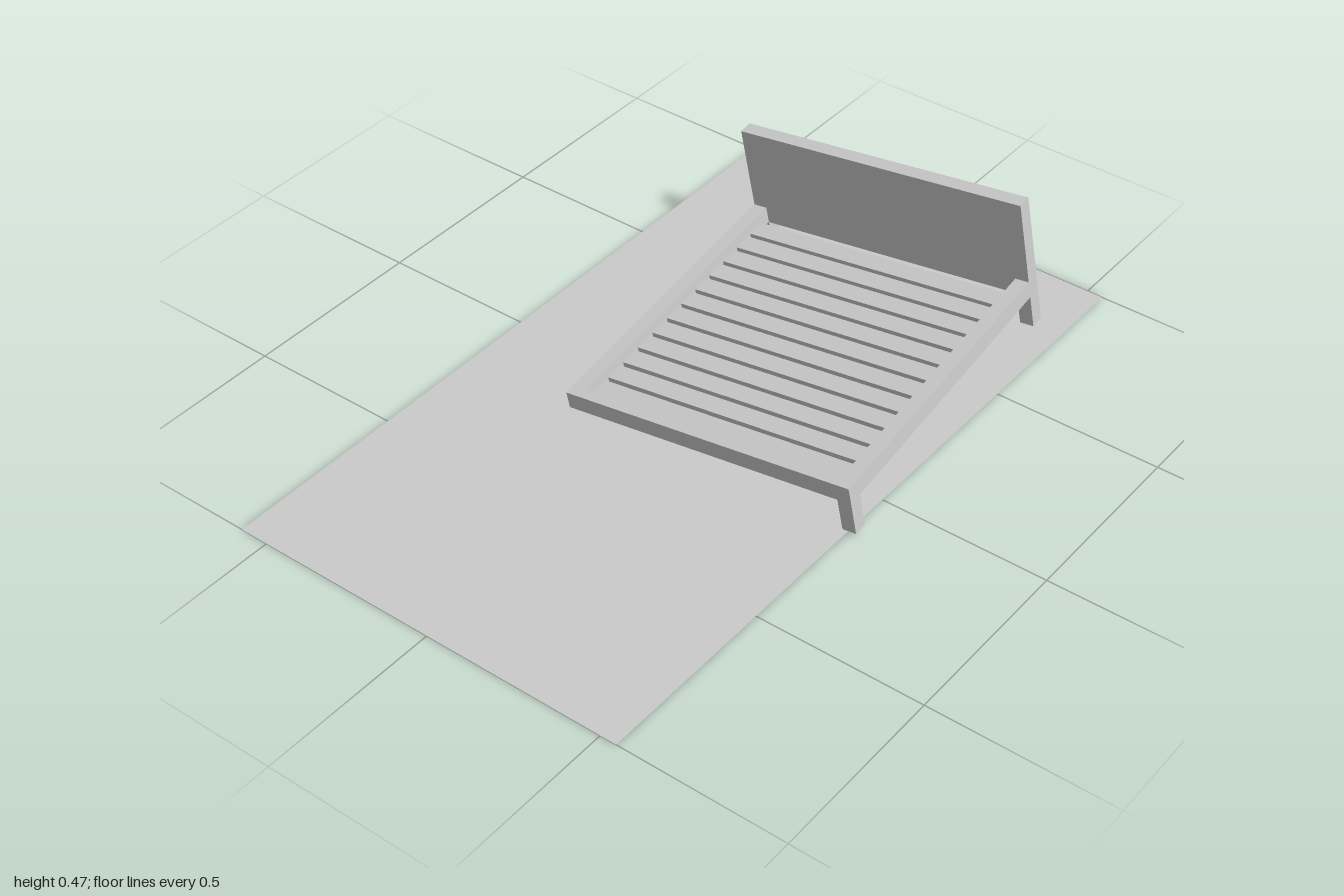
import * as THREE from 'three';

const W = 0.825;      // frame width
const RAIL = 0.047;   // rail height
const T = 0.038;      // rail and leg thickness
const LEG = 0.14;     // rail top to leg bottom
const L = 0.83;       // front face to headboard

export function createModel() {
  const root = new THREE.Group();
  const mat = new THREE.MeshStandardMaterial({ color: 0xcccccc, flatShading: true });
  const sheetMat = new THREE.MeshStandardMaterial({ color: 0xcccccc, side: THREE.DoubleSide });

  // Flat ground sheet
  const sheet = new THREE.Mesh(new THREE.PlaneGeometry(1.124, 2), sheetMat);
  sheet.name = 'floorSheet';
  sheet.rotation.x = -Math.PI / 2;
  sheet.position.x = -0.018;
  root.add(sheet);

  // Bed frame: origin at the top middle of the front face, length running to -z
  const bed = new THREE.Group();
  bed.name = 'bedFrame';
  const ax = new THREE.Vector3(1, 0.122, -0.039).normalize();
  const ay = new THREE.Vector3(0, 0, 0);
  const az = new THREE.Vector3(0.05, -0.102, 1).normalize();
  ay.crossVectors(az, ax).normalize();
  az.crossVectors(ax, ay);
  bed.quaternion.setFromRotationMatrix(new THREE.Matrix4().makeBasis(ax, ay, az));
  bed.position.set(0.149, 0.105, 0.183);
  root.add(bed);

  const box = (name, w, h, d, x, y, z) => {
    const m = new THREE.Mesh(new THREE.BoxGeometry(w, h, d), mat);
    m.name = name;
    m.position.set(x, y, z);
    bed.add(m);
  };
  // Board with legs cut out of one panel
  const panel = (name, pts, frontZ) => {
    const shape = new THREE.Shape(pts.map(([x, y]) => new THREE.Vector2(x, y)));
    const m = new THREE.Mesh(new THREE.ExtrudeGeometry(shape, { depth: T, bevelEnabled: false }), mat);
    m.name = name;
    m.position.z = frontZ - T;
    bed.add(m);
  };
  const h = W / 2;

  // Headboard with a leg at each end
  panel('headboard', [
    [-h, -LEG], [-h + T, -LEG], [-h + T, -RAIL], [h - T, -RAIL],
    [h - T, -LEG], [h, -LEG], [h, 0.235], [-h, 0.235],
  ], -L);

  // Front rail with its single leg
  panel('frontRail', [
    [-h, -RAIL], [h - T, -RAIL], [h - T, -LEG], [h, -LEG], [h, 0], [-h, 0],
  ], 0);

  // Side rails
  for (const s of [-1, 1]) {
    box(s > 0 ? 'leftRail' : 'rightRail', T, RAIL, L - T, s * (h - T / 2), -RAIL / 2, -(L + T) / 2);
  }

  // Slats
  const count = 12, pitch = 0.0632, slat = 0.051;
  for (let i = 0; i < count; i++) {
    box('slat', W - 2 * T, 0.016, slat, 0, -0.035, -T - 0.014 - slat / 2 - i * pitch);
  }
  return root;
}
